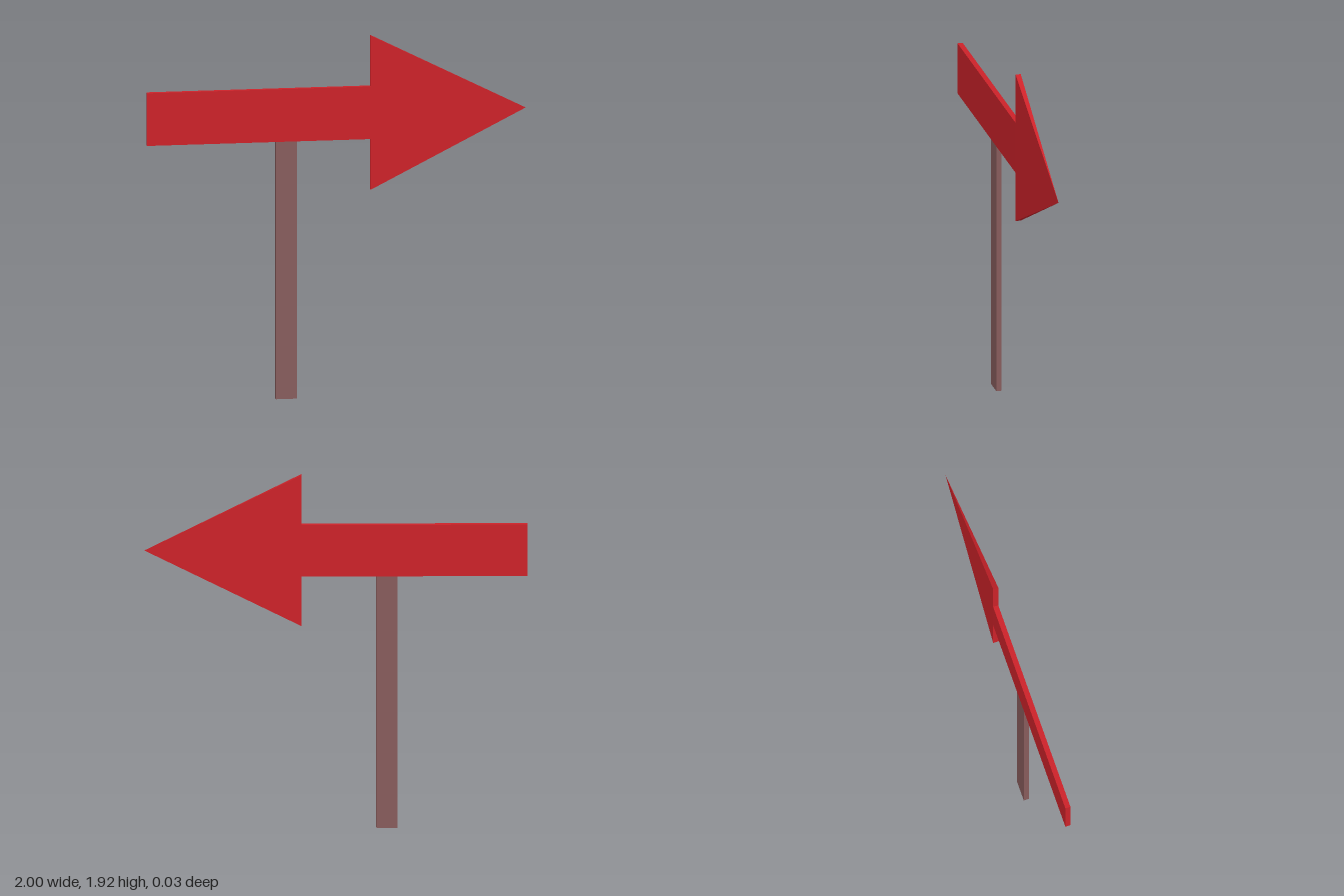
import * as THREE from 'three';

const DEPTH = 0.028;

export function createModel() {
  const group = new THREE.Group();
  const red = new THREE.MeshStandardMaterial({ color: 0xcc2229, flatShading: true });
  const brown = new THREE.MeshStandardMaterial({ color: 0x875c5c, flatShading: true });

  const add = (name, geometry, material, x, y) => {
    const mesh = new THREE.Mesh(geometry, material);
    mesh.name = name;
    mesh.position.set(x, y, 0);
    group.add(mesh);
  };

  // Flat upright post
  add('post', new THREE.BoxGeometry(0.11, 1.37, DEPTH), brown, -0.265, 0.685);

  // Horizontal bar of the arrow
  add('arrowShaft', new THREE.BoxGeometry(1.18, 0.28, DEPTH), red, -0.41, 1.51);

  // Arrow head: a flattened four-sided pyramid lying on its side, tip towards +x
  const head = new THREE.ConeGeometry(Math.SQRT1_2, 1, 4)
    .rotateY(Math.PI / 4)
    .rotateZ(-Math.PI / 2)
    .scale(0.82, 0.82, DEPTH)
    .toNonIndexed();
  head.computeVertexNormals();
  add('arrowHead', head, red, 0.59, 1.51);

  return group;
}
